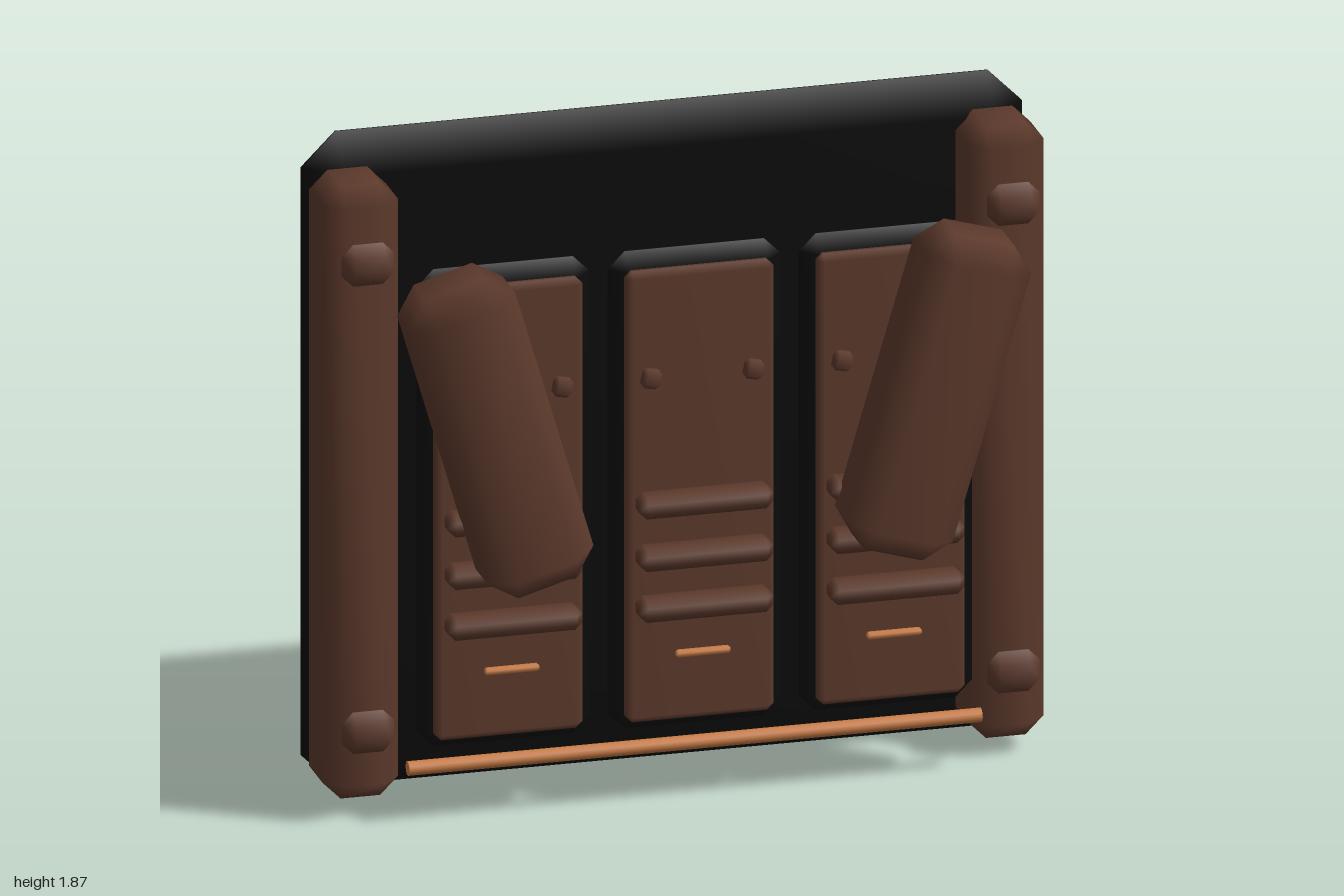
import * as THREE from 'three';
import { mergeVertices } from 'three/addons/utils/BufferGeometryUtils.js';
import { ConvexGeometry } from 'three/addons/geometries/ConvexGeometry.js';

function material(name, color) {
  const m = new THREE.MeshStandardMaterial({ color });
  m.name = name;
  return m;
}

// Box with all edges cut at 45 degrees and soft shading
function chamferBox(w, h, d, c) {
  const half = [w / 2, h / 2, d / 2];
  const cut = Math.min(c, half[0] * 0.97, half[1] * 0.97, half[2] * 0.97);
  const points = [];
  for (let axis = 0; axis < 3; axis++)
    for (const sx of [-1, 1]) for (const sy of [-1, 1]) for (const sz of [-1, 1]) {
      const p = half.map((v, i) => (i === axis ? v : v - cut));
      points.push(new THREE.Vector3(sx * p[0], sy * p[1], sz * p[2]));
    }
  let g = new ConvexGeometry(points);
  g.deleteAttribute('normal');
  g = mergeVertices(g, 1e-5);
  g.computeVertexNormals();
  return g;
}

export function createModel() {
  const black = material('black', 0x0b0b0b);
  const brown = material('brown leather', 0x5d3a2c);
  const copper = material('copper', 0xc77b45);
  const model = new THREE.Group();
  model.name = 'paddedBackrest';

  const add = (parent, name, geometry, mat, x, y, z) => {
    const mesh = new THREE.Mesh(geometry, mat);
    mesh.name = name;
    mesh.position.set(x, y, z);
    parent.add(mesh);
    return mesh;
  };

  // Back slab
  add(model, 'backSlab', chamferBox(2, 1.865, 0.196, 0.098), black, 0, 0.9325, -0.287);

  // Side posts, their pads and the leaning bolsters
  const postGeo = chamferBox(0.21, 1.745, 0.235, 0.05);
  const padGeo = chamferBox(0.145, 0.118, 0.065, 0.031);
  const bolsterGeo = chamferBox(0.304, 0.91, 0.265, 0.068);
  for (const [side, s] of [['right', -1], ['left', 1]]) {
    add(model, side + 'Post', postGeo, brown, s * 0.895, 0.917, -0.133);
    add(model, side + 'UpperPad', padGeo, brown, s * 0.895, 1.59, 0.012);
    add(model, side + 'LowerPad', padGeo, brown, s * 0.895, 0.257, 0.012);
    const bolster = add(model, side + 'Bolster', bolsterGeo, brown, s * 0.607, 1.174, 0.2525);
    bolster.rotation.z = -s * 0.285;
  }

  // Three upholstered panels
  const shellGeo = chamferBox(0.48, 1.36, 0.096, 0.048);
  const cushionGeo = chamferBox(0.41, 1.285, 0.05, 0.018);
  const ribGeo = chamferBox(0.372, 0.065, 0.08, 0.02);
  const studGeo = chamferBox(0.055, 0.055, 0.04, 0.012);
  const slotGeo = chamferBox(0.152, 0.02, 0.022, 0.006);
  for (const [name, x] of [['rightPanel', -0.53], ['centrePanel', 0], ['leftPanel', 0.53]]) {
    const panel = new THREE.Group();
    panel.name = name;
    panel.position.x = x;
    model.add(panel);
    add(panel, 'shell', shellGeo, black, 0, 0.893, 0.048);
    add(panel, 'cushion', cushionGeo, brown, -0.002, 0.893, 0.103);
    for (const y of [0.59, 0.735, 0.885]) add(panel, 'rib', ribGeo, brown, -0.002, y, 0.162);
    for (const s of [-1, 1]) {
      const stud = add(panel, 'stud', studGeo, brown, s * 0.142, 1.235, 0.13);
      stud.rotation.z = -0.2;
    }
    add(panel, 'copperStrip', slotGeo, copper, 0, 0.445, 0.137);
  }

  // Copper rail under the panels
  const rail = add(model, 'rail', new THREE.CylinderGeometry(0.02, 0.02, 1.59, 12), copper, -0.003, 0.16, 0.06);
  rail.rotation.z = Math.PI / 2;

  return model;
}
